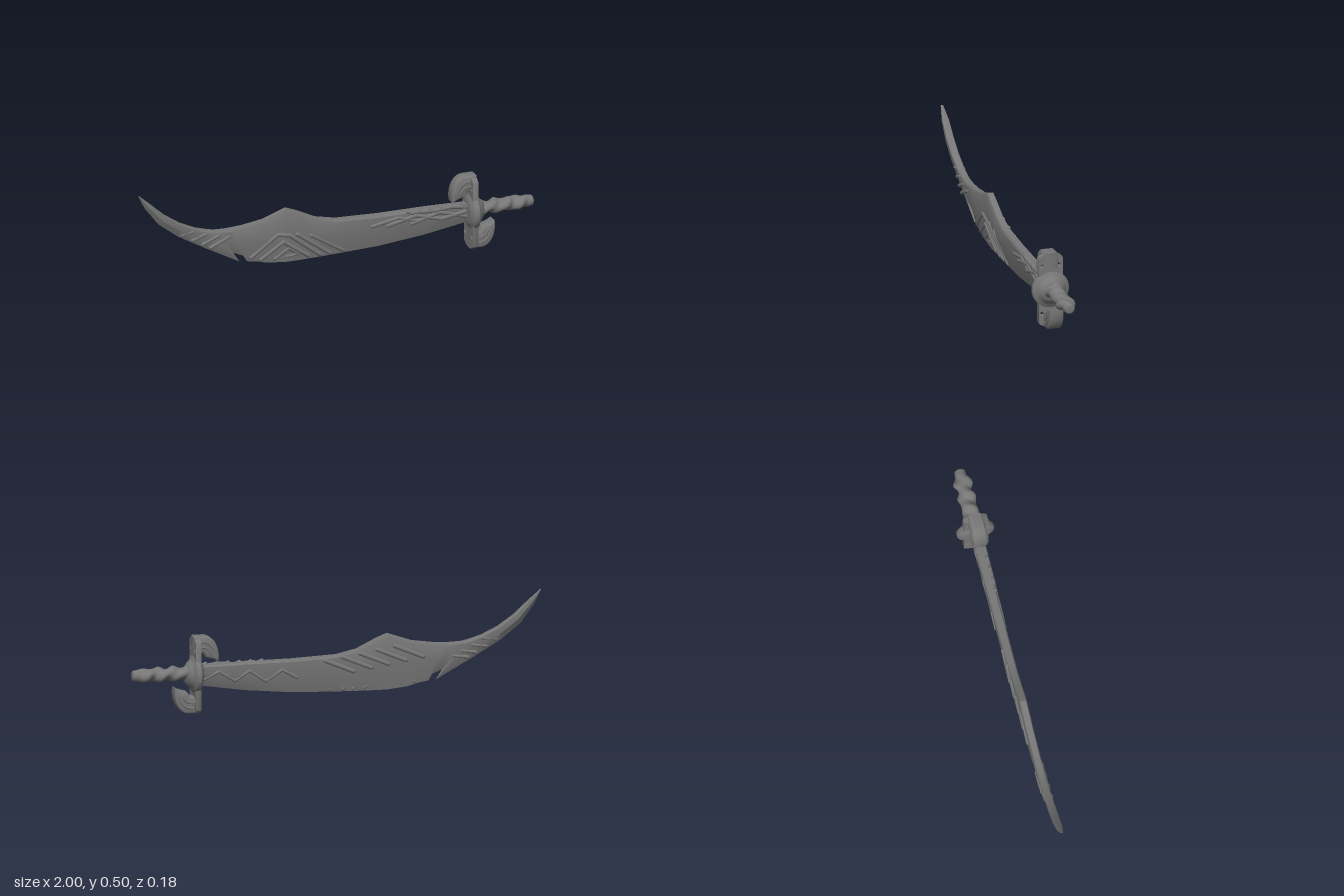
import * as THREE from 'three';
import { toCreasedNormals } from 'three/addons/utils/BufferGeometryUtils.js';

const { lerp, clamp } = THREE.MathUtils;
const steel = new THREE.MeshStandardMaterial({ color: 0x777777, side: THREE.DoubleSide });
const BLADE_Z = -0.004, GUARD_X = 0.69, GUARD_Y = 0.19;

// Blade stations from tip to hilt: spine x, y and cutting edge x, y
const STATIONS = [
  [-1, 0.505, -1, 0.5], [-0.97, 0.478, -0.983, 0.462], [-0.94, 0.452, -0.965, 0.43],
  [-0.87, 0.388, -0.9, 0.345], [-0.79, 0.334, -0.8, 0.268], [-0.71, 0.297, -0.66, 0.188],
  [-0.64, 0.277, -0.488, 0.096], [-0.61, 0.272, -0.52, 0.145], [-0.56, 0.27, -0.468, 0.122],
  [-0.53, 0.271, -0.45, 0.092], [-0.47, 0.275, -0.4, 0.084],
  [-0.37, 0.29, -0.35, 0.07], [-0.25, 0.332, -0.25, 0.06], [-0.2, 0.313, -0.2, 0.06],
  [-0.1, 0.265, -0.1, 0.062], [0, 0.243, 0, 0.065], [0.22, 0.235, 0.22, 0.074],
  [0.45, 0.235, 0.45, 0.098], [0.7, 0.23, 0.7, 0.138],
];

function mesh(geometry, name, parent) {
  const m = new THREE.Mesh(geometry, steel);
  m.name = name;
  parent.add(m);
  return m;
}

// Half thickness: narrow only at the very tip, thicker at the hilt
const spineHalf = x => x < -0.93 ? lerp(0.006, 0.018, (x + 1) / 0.07)
  : lerp(0.018, 0.024, (x + 0.93) / 1.63);
// Flat upper part, bevelled down to the edge; f runs from spine to edge
const sectionHalf = (x, f) => spineHalf(x) * (f < 0.5 ? 1 : lerp(1, 0.12, (f - 0.5) * 2));

function surfaceHalf(x, y) {
  let i = 0;
  while (i < STATIONS.length - 2 && STATIONS[i + 1][0] < x) i++;
  const a = STATIONS[i], b = STATIONS[i + 1], t = clamp((x - a[0]) / (b[0] - a[0]), 0, 1);
  const top = lerp(a[1], b[1], t), bottom = lerp(a[3], b[3], t);
  return sectionHalf(x, clamp((top - y) / (top - bottom), 0, 1));
}

function bladeGeometry() {
  const ring = [[0, 0.72], [0.06, 1], [0.5, 1], [1, 1], [1, -1], [0.5, -1], [0.06, -1], [0, -0.72]];
  const pos = [], index = [], n = ring.length;
  STATIONS.forEach(([tx, ty, bx, by], i) => {
    for (const [f, s] of ring)
      pos.push(lerp(tx, bx, f), lerp(ty, by, f), BLADE_Z + s * sectionHalf(tx, f));
    if (i === 0) return;
    for (let j = 0; j < n; j++) {
      const a = (i - 1) * n + j, b = (i - 1) * n + (j + 1) % n;
      index.push(a, b, b + n, a, b + n, a + n);
    }
  });
  for (let j = 1; j < n - 1; j++) {
    const e = pos.length / 3 - n;
    index.push(0, j + 1, j, e, e + j, e + j + 1);
  }
  const g = new THREE.BufferGeometry();
  g.setAttribute('position', new THREE.Float32BufferAttribute(pos, 3));
  g.setIndex(index);
  return toCreasedNormals(g, 0.5);
}

// Raised strokes following a polyline on one face of the blade
function carve(parent, side, line, r = 0.011) {
  const pts = line.map(([x, y]) =>
    new THREE.Vector3(x, y, BLADE_Z + side * (surfaceHalf(x, y) - 0.003)));
  for (let i = 1; i < pts.length; i++) {
    const d = pts[i].clone().sub(pts[i - 1]);
    const m = mesh(new THREE.CapsuleGeometry(r, d.length(), 3, 10), 'carvedStroke', parent);
    m.position.copy(pts[i - 1]).addScaledVector(d, 0.5);
    m.quaternion.setFromUnitVectors(new THREE.Vector3(0, 1, 0), d.normalize());
  }
}

function addCarvings(parent) {
  const front = new THREE.Group(), back = new THREE.Group();
  front.name = 'frontCarvings';
  back.name = 'backCarvings';
  parent.add(front, back);
  // Slanted strokes near the tip
  [[-0.78, 0.272], [-0.73, 0.242], [-0.68, 0.216], [-0.64, 0.194]].forEach(([x, y], i) => {
    carve(front, 1, [[x, y], [x + 0.05 + i * 0.015, y + 0.016 + i * 0.009]], 0.009);
    carve(back, -1, [[x, y + 0.004], [x + 0.07, y + 0.014]], 0.008);
  });
  // Nested chevrons in the wide belly
  carve(front, 1, [[-0.43, 0.11], [-0.3, 0.212], [-0.24, 0.2], [-0.08, 0.075]]);
  carve(front, 1, [[-0.38, 0.092], [-0.27, 0.17], [-0.14, 0.078]]);
  carve(front, 1, [[-0.31, 0.085], [-0.24, 0.132], [-0.19, 0.095], [-0.25, 0.088]], 0.009);
  carve(front, 1, [[-0.2, 0.2], [-0.03, 0.076]]);
  carve(front, 1, [[-0.13, 0.185], [0.04, 0.078]], 0.01);
  // Zigzags towards the hilt
  carve(front, 1, [[0.18, 0.185], [0.31, 0.21], [0.42, 0.18]], 0.01);
  carve(front, 1, [[0.26, 0.178], [0.4, 0.21], [0.53, 0.175], [0.65, 0.195]]);
  carve(front, 1, [[0.38, 0.172], [0.52, 0.21], [0.66, 0.167]]);
  carve(front, 1, [[0.4, 0.226], [0.5, 0.222], [0.58, 0.228], [0.66, 0.218]]);
  carve(back, -1, [[0.2, 0.15], [0.27, 0.19], [0.35, 0.14], [0.43, 0.195], [0.5, 0.15], [0.58, 0.2], [0.65, 0.165]], 0.009);
  // Long parallel strokes below the hump
  for (let i = 0; i < 5; i++) {
    const x = 0.06 - i * 0.085, y = 0.222 + i * 0.013;
    carve(back, -1, [[x, y], [x - 0.14, y - 0.06]]);
  }
  // Nicks along the spine
  for (let i = 0; i < 6; i++) {
    const x = 0.36 + i * 0.055;
    carve(front, 1, [[x, 0.233], [x + 0.025, 0.222]], 0.009);
  }
}

function guardPlate() {
  const pts = [[0, 0], [0.03, 0.005], [0.055, 0.018], [0.06, 0.026], [0.06, 0.346], [0.055, 0.354], [0.03, 0.369]];
  const all = [...pts, [0, 0.371], ...pts.slice(1).map(([z, y]) => [-z, y]).reverse()];
  const shape = new THREE.Shape(all.map(p => new THREE.Vector2(...p)));
  // Square bolt holes
  for (const s of [-1, 1]) for (const y of [0.07, 0.312]) {
    const corners = [[-1, -0.7], [-0.7, -1], [0.7, -1], [1, -0.7], [1, 0.7], [0.7, 1], [-0.7, 1], [-1, 0.7]];
    shape.holes.push(new THREE.Path(corners.map(([u, v]) =>
      new THREE.Vector2(s * 0.043 + u * 0.009, y + v * 0.01))));
  }
  const g = new THREE.ExtrudeGeometry(shape, { depth: 0.028, bevelEnabled: false });
  return toCreasedNormals(g.rotateY(Math.PI / 2).translate(0.674, 0, 0), 0.6);
}

// Broad curled claw at one end of the guard, relative to the guard centre
function claw(name) {
  const group = new THREE.Group();
  group.name = name;
  const s = new THREE.Shape();
  s.moveTo(-0.012, -0.182);
  s.lineTo(0.045, -0.182);
  s.bezierCurveTo(0.09, -0.175, 0.112, -0.12, 0.105, -0.062);
  s.bezierCurveTo(0.088, -0.076, 0.066, -0.08, 0.046, -0.086);
  s.lineTo(0.034, -0.108);
  s.lineTo(-0.012, -0.108);
  const g = new THREE.ExtrudeGeometry(s, {
    depth: 0.046, bevelThickness: 0.012, bevelSize: 0.01, bevelOffset: -0.007,
    bevelSegments: 4, curveSegments: 10,
  }).translate(0, 0, -0.023);
  mesh(toCreasedNormals(g, 0.8), 'clawBody', group);
  // Ridges sweeping along both cheeks
  for (const z of [-0.033, 0.033]) for (const k of [0, 1]) {
    const curve = new THREE.QuadraticBezierCurve3(
      new THREE.Vector3(0.016, -0.16 + k * 0.026, z),
      new THREE.Vector3(0.074 - k * 0.014, -0.16 + k * 0.026, z),
      new THREE.Vector3(0.089 - k * 0.02, -0.1, z));
    mesh(new THREE.TubeGeometry(curve, 10, 0.006, 8), 'clawRidge', group);
  }
  group.position.set(GUARD_X, GUARD_Y, 0);
  return group;
}

// Twisted grip: an oval, swelling rod with spiral lobes
function gripGeometry() {
  const g = new THREE.CylinderGeometry(1, 1, 1, 32, 48, true);
  const p = g.attributes.position;
  for (let i = 0; i < p.count; i++) {
    const t = p.getY(i) + 0.5, a = Math.atan2(p.getZ(i), p.getX(i));
    const fade = Math.min(1, (1 - t) * 8);
    const r = 0.031 + fade * (0.0045 * Math.cos(2 * a + t * 20) + 0.003 * Math.sin(t * 26)) - 0.005 * (1 - fade);
    p.setXYZ(i, lerp(0.72, 0.985, t), 0.197 + r * Math.cos(a), (1 + 0.25 * fade) * r * Math.sin(a));
  }
  g.computeVertexNormals();
  return g;
}

export function createModel() {
  const sword = new THREE.Group();
  sword.name = 'curvedSword';

  const blade = new THREE.Group();
  blade.name = 'blade';
  sword.add(blade);
  mesh(bladeGeometry(), 'bladeBody', blade);
  addCarvings(blade);

  const guard = new THREE.Group();
  guard.name = 'guard';
  sword.add(guard);
  mesh(guardPlate(), 'guardPlate', guard);
  // Round boss, softly stepped towards the grip
  const profile = [[0, -0.03], [0.055, -0.03], [0.067, -0.024], [0.08, -0.018], [0.089, -0.013], [0.092, -0.006],
    [0.092, 0.008], [0.088, 0.014], [0.076, 0.018], [0.067, 0.024], [0.061, 0.034], [0.05, 0.042], [0.038, 0.052], [0, 0.052]];
  const boss = new THREE.LatheGeometry(profile.map(p => new THREE.Vector2(...p)), 24);
  boss.rotateZ(-Math.PI / 2).translate(GUARD_X, GUARD_Y, 0);
  mesh(boss, 'guardBoss', guard);
  const upper = claw('upperClaw');
  upper.rotation.z = Math.PI;
  guard.add(claw('lowerClaw'), upper);

  const handle = new THREE.Group();
  handle.name = 'handle';
  sword.add(handle);
  mesh(gripGeometry(), 'grip', handle);
  const cap = new THREE.LatheGeometry([[0.0265, -0.02], [0.027, 0.004], [0.023, 0.012], [0.017, 0.015], [0, 0.015]]
    .map(p => new THREE.Vector2(...p)), 24);
  cap.rotateZ(-Math.PI / 2).translate(0.985, 0.197, 0);
  mesh(cap, 'pommelCap', handle);
  return sword;
}
